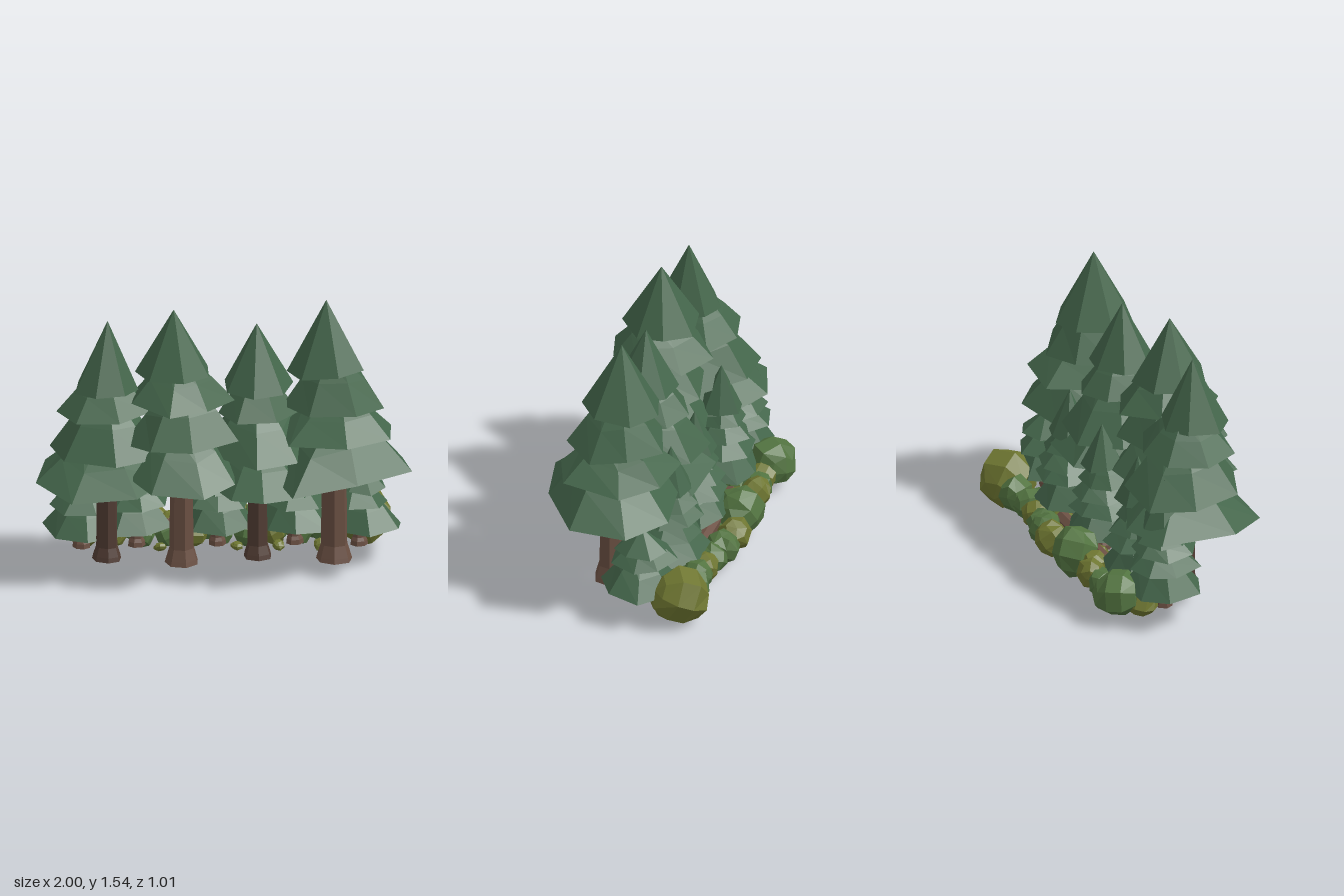
import * as THREE from 'three';

const mat = (color) => new THREE.MeshStandardMaterial({ color, flatShading: true });
const needles = mat(0x44664b), bark = mat(0x6b5043), darkBark = mat(0x523d34);
const greenLeaf = mat(0x527340), oliveLeaf = mat(0x6e7631);

// Repeatable random numbers
let seed = 7;
const rnd = () => {
  seed = (seed * 16807) % 2147483647;
  return seed / 2147483647;
};
const vary = (a) => (rnd() * 2 - 1) * a;

function add(parent, name, geometry, material) {
  const mesh = new THREE.Mesh(geometry, material);
  mesh.name = name;
  parent.add(mesh);
  return mesh;
}

// Irregular ring of corners round the origin, as [x, z] for a rim of radius 1
function roughRing(sides, jitter) {
  const start = rnd() * 6;
  return Array.from({ length: sides }, (_, i) => {
    const a = start + (i + vary(jitter)) / sides * Math.PI * 2, r = 1 + vary(jitter);
    return [Math.sin(a) * r, Math.cos(a) * r];
  });
}

// Faceted turned shape whose spokes run through the given ring of corners
function roughLathe(profile, ring, drop = 0) {
  const g = new THREE.LatheGeometry(profile.map(([r, y]) => new THREE.Vector2(r, y)), ring.length);
  const p = g.attributes.position, rows = profile.length;
  const drops = ring.map(() => vary(drop));
  for (let i = 0; i < p.count; i++) {
    const k = Math.floor(i / rows) % ring.length, [r, y] = profile[i % rows];
    p.setXYZ(i, ring[k][0] * r, y + (r > 0 ? drops[k] : 0), ring[k][1] * r);
  }
  g.computeVertexNormals();
  return g;
}

// One skirt of branches: flat underside, thin lip, then a slope up to its top
function branchTier(r, y, h, isTop, ring) {
  const slope = isTop ? [[0, y + h]] : [[r * 0.62, y + h * 0.6], [r * 0.3, y + h], [0, y + h]];
  return roughLathe([[0, y + 0.05], [r * 0.82, y], [r, y + r * 0.03], ...slope], ring, r * 0.07);
}

// tiers: [x, z, radius, bottom y], lowest first; rim: corners [x, z] of the lowest tier
function conifer(name, trunkX, trunkZ, trunkR, trunkTop, trunkMat, tiers, apexY, rim) {
  const tree = new THREE.Group();
  tree.name = name;
  const trunk = add(tree, 'trunk', roughLathe([[0, 0.08], [trunkR * 1.4, 0.085], [trunkR * 1.3, 0.11],
    [trunkR * 1.02, 0.08 + trunkR * 1.4], [trunkR * 0.92, trunkTop], [0, trunkTop]], roughRing(7, 0.06)), trunkMat);
  trunk.position.set(trunkX, 0, trunkZ);
  tiers.forEach(([x, z, r, y], i) => {
    const top = i === tiers.length - 1;
    const h = top ? apexY - y : (tiers[i + 1][3] - y) * 1.35;
    const ring = i === 0 && rim ? rim.map(([cx, cz]) => [(cx - x) / r, (cz - z) / r]) : roughRing(7, 0.1);
    const tier = add(tree, 'branchTier', branchTier(r, y, h, top, ring), needles);
    tier.position.set(x, 0, z);
  });
  return tree;
}

// Faceted rounded bush
function bush(x, y, z, r, material) {
  const g = new THREE.SphereGeometry(r, 7, 5);
  const p = g.attributes.position;
  for (let i = 0; i < p.count; i++) {
    const a = Math.round(p.getX(i) / r * 50), b = Math.round(p.getY(i) / r * 50), c = Math.round(p.getZ(i) / r * 50);
    const s = 1.02 + 0.08 * Math.sin(a * 1.7 + b * 2.3 + c * 3.1 + x * 20);
    p.setXYZ(i, p.getX(i) * s, p.getY(i) * s, p.getZ(i) * s);
  }
  g.computeVertexNormals();
  const m = new THREE.Mesh(g, material);
  m.name = 'bush';
  m.position.set(x, y, z);
  m.rotation.set(x * 2, x * 9, z * 2);
  return m;
}

export function createModel() {
  seed = 7;
  const model = new THREE.Group();
  model.name = 'forestEdge';

  // Four tall trees in the front row
  model.add(
    conifer('tallTree', -0.615, 0.04, 0.056, 0.75, darkBark, [
      [-0.63, 0.03, 0.37, 0.53], [-0.62, 0.03, 0.32, 0.70],
      [-0.63, 0.04, 0.26, 0.92], [-0.615, 0.08, 0.18, 1.07]], 1.45,
    [[-0.82, 0.38], [-0.47, 0.37], [-0.28, 0.1], [-0.4, -0.2], [-0.68, -0.34], [-0.93, -0.25], [-1, 0.15]]),
    conifer('tallTree', -0.22, 0.11, 0.066, 0.8, bark, [
      [-0.21, 0.13, 0.31, 0.585], [-0.22, 0.14, 0.31, 0.79],
      [-0.23, 0.11, 0.27, 1.0], [-0.265, 0.115, 0.2, 1.16]], 1.52,
    [[-0.4, 0.45], [-0.12, 0.48], [0.05, 0.36], [0.06, 0], [-0.15, -0.17], [-0.42, -0.1], [-0.5, 0.26]]),
    conifer('tallTree', 0.185, 0.04, 0.056, 0.75, darkBark, [
      [0.19, 0.04, 0.34, 0.53], [0.18, 0.02, 0.3, 0.69],
      [0.18, 0.03, 0.23, 0.9], [0.18, 0.05, 0.18, 1.05]], 1.41,
    [[0.03, 0.36], [0.2, 0.42], [0.42, 0.34], [0.52, 0.05], [0.38, -0.28], [0.05, -0.3], [-0.13, 0]]),
    conifer('tallTree', 0.59, 0.105, 0.068, 0.8, bark, [
      [0.62, 0.09, 0.39, 0.58], [0.62, 0.06, 0.33, 0.80],
      [0.59, 0.06, 0.27, 0.95], [0.55, 0.06, 0.2, 1.15]], 1.54,
    [[0.35, 0.5], [0.7, 0.42], [1, 0.2], [0.96, -0.1], [0.75, -0.27], [0.42, -0.22], [0.26, 0.12]]));

  // Smaller trees behind them: [x, z, apex y, lowest radius, number of tiers]
  [[-0.74, -0.15, 0.84, 0.22, 5], [-0.45, -0.16, 0.84, 0.2, 5], [-0.02, -0.16, 0.82, 0.2, 5],
    [0.39, -0.16, 0.84, 0.21, 5], [0.735, -0.12, 0.54, 0.21, 3]].forEach(([x, z, apex, r, n]) => {
    const tiers = Array.from({ length: n }, (_, k) =>
      [x + vary(0.015), z, r * (1 - k * 0.52 / n), 0.19 + (k ? 0.05 : 0) + k * 0.085]);
    model.add(conifer('smallTree', x, z, 0.035, 0.3, bark, tiers, apex));
  });

  // Hedge along the back: [x, y, z, radius, olive?]
  const hedge = new THREE.Group();
  hedge.name = 'hedge';
  [[0.77, 0.165, -0.335, 0.155, 1], [0.63, 0.14, -0.36, 0.1, 0], [0.5, 0.13, -0.34, 0.085, 0],
    [0.4, 0.13, -0.35, 0.08, 1], [0.3, 0.12, -0.36, 0.085, 0], [0.2, 0.14, -0.39, 0.09, 0],
    [0.08, 0.15, -0.41, 0.095, 1], [-0.12, 0.16, -0.37, 0.135, 0], [-0.25, 0.12, -0.33, 0.09, 1],
    [-0.35, 0.14, -0.385, 0.085, 1], [-0.44, 0.12, -0.36, 0.085, 0], [-0.53, 0.13, -0.36, 0.08, 1],
    [-0.65, 0.16, -0.375, 0.13, 0], [-0.72, 0.12, -0.27, 0.085, 1]].forEach(([x, y, z, r, olive]) =>
    hedge.add(bush(x, y, z, r, olive ? oliveLeaf : greenLeaf)));
  // Lower inner row of the hedge
  for (let i = 0; i < 9; i++) hedge.add(bush(-0.56 + i * 0.14, 0.11, -0.255, 0.07, i % 3 ? greenLeaf : oliveLeaf));
  // Low tufts between the trunks
  [-0.6, -0.33, 0.08, 0.3, 0.52].forEach((x) => {
    const tuft = bush(x, 0.115, -0.04, 0.035, oliveLeaf);
    tuft.scale.y = 0.6;
    hedge.add(tuft);
  });
  model.add(hedge);

  // Fallen log among the bushes
  const log = add(model, 'fallenLog', new THREE.CylinderGeometry(0.04, 0.045, 0.55, 7), bark);
  log.rotation.z = Math.PI / 2;
  log.position.set(-0.02, 0.15, -0.27);
  return model;
}
